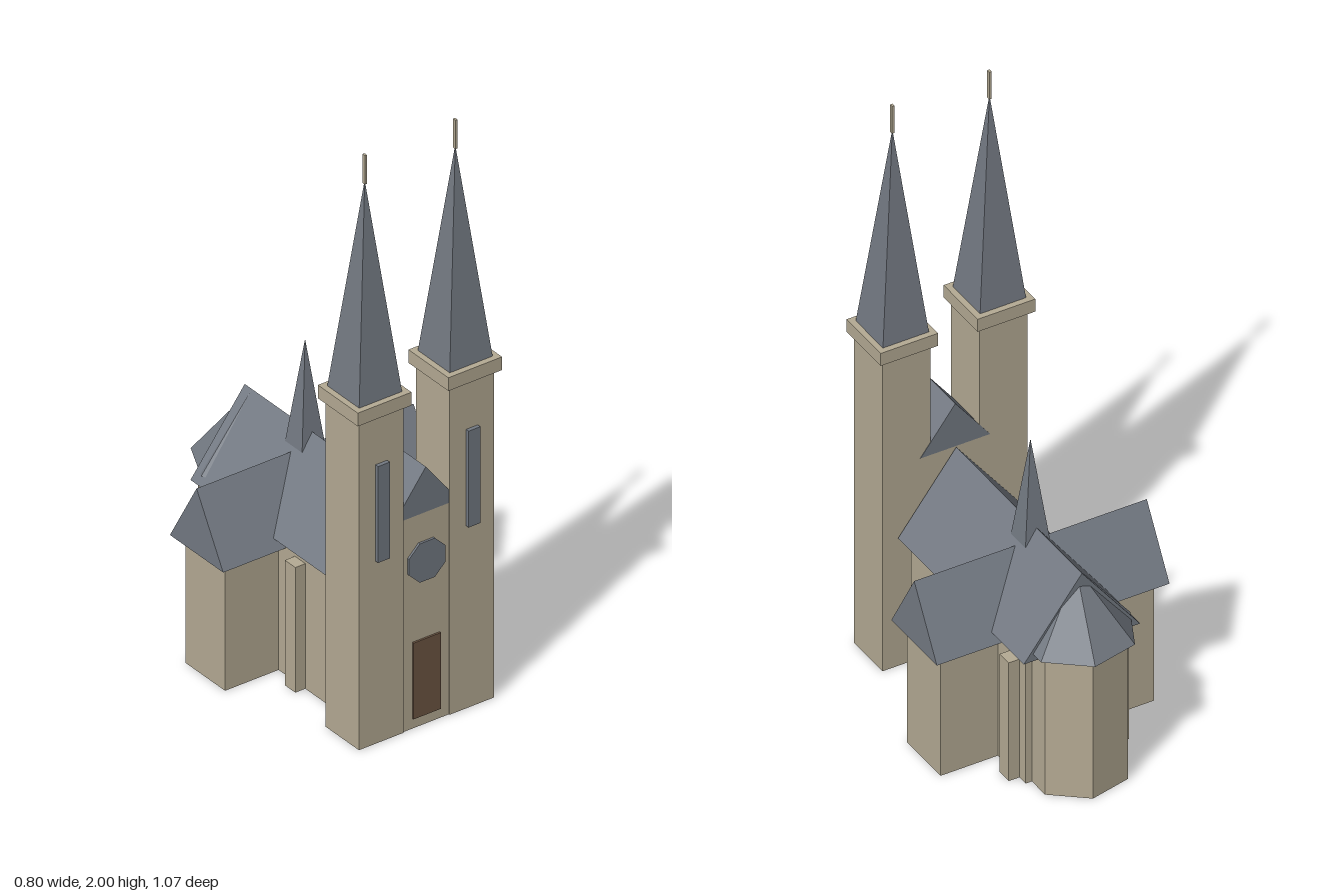
import * as THREE from 'three';

const stone = new THREE.MeshStandardMaterial({ color: 0xb5ab94 });
stone.name = 'stone';
const slate = new THREE.MeshStandardMaterial({ color: 0x747a83 });
slate.name = 'slate';
const wood = new THREE.MeshStandardMaterial({ color: 0x6e5643 });
wood.name = 'door wood';

// Separate the faces so every facet gets its own normal
function faceted(geometry) {
  const g = geometry.toNonIndexed();
  g.computeVertexNormals();
  return g;
}

function add(parent, name, geometry, material, x, y, z) {
  const mesh = new THREE.Mesh(geometry, material);
  mesh.name = name;
  mesh.position.set(x, y, z);
  parent.add(mesh);
  return mesh;
}

// Box given by its size, centre in x and z, and bottom y
function block(parent, name, [w, h, d], [x, y, z], material = stone) {
  return add(parent, name, new THREE.BoxGeometry(w, h, d), material, x, y + h / 2, z);
}

// Square pyramid standing on y
function pyramid(parent, name, half, height, [x, y, z]) {
  const g = new THREE.ConeGeometry(half * Math.SQRT2, height, 4);
  g.rotateY(Math.PI / 4);
  return add(parent, name, faceted(g), slate, x, y + height / 2, z);
}

// Closed triangular roof with its ridge along z, centred on z
function gableRoof(parent, name, half, height, length, [x, y, z]) {
  const shape = new THREE.Shape();
  shape.moveTo(-half, 0);
  shape.lineTo(half, 0);
  shape.lineTo(0, height);
  shape.closePath();
  const g = new THREE.ExtrudeGeometry(shape, { depth: length, bevelEnabled: false });
  g.translate(0, 0, -length / 2);
  return add(parent, name, g, slate, x, y, z);
}

export function createModel() {
  const church = new THREE.Group();
  church.name = 'church';
  const towerZ = 0.434, crossZ = -0.086, apseZ = -0.35;

  // Twin west towers
  for (const side of [1, -1]) {
    const tower = new THREE.Group();
    tower.name = side > 0 ? 'leftTower' : 'rightTower';
    tower.position.set(side * 0.167, 0, towerZ);
    church.add(tower);
    block(tower, 'towerShaft', [0.165, 1.14, 0.165], [0, 0, 0]);
    block(tower, 'towerCornice', [0.198, 0.046, 0.198], [0, 1.14, 0]);
    pyramid(tower, 'towerSpire', 0.079, 0.725, [0, 1.186, 0]);
    block(tower, 'spireFinial', [0.008, 0.1, 0.012], [0, 1.9, 0]);
    block(tower, 'belfryWindow', [0.043, 0.335, 0.014], [0, 0.635, 0.0885], slate);
  }

  // Facade between the towers
  block(church, 'facadeWall', [0.17, 0.735, 0.163], [0, 0, 0.4315]);
  gableRoof(church, 'facadeRoof', 0.12, 0.157, 0.163, [0, 0.735, 0.4315]);
  block(church, 'door', [0.1, 0.265, 0.009], [0, 0.035, 0.515], wood);
  const rose = new THREE.CylinderGeometry(0.073, 0.073, 0.009, 8);
  rose.rotateY(Math.PI / 8);
  rose.rotateX(Math.PI / 2);
  add(church, 'roseWindow', faceted(rose), slate, 0, 0.57, 0.516);

  // Nave with side buttresses
  block(church, 'naveWalls', [0.34, 0.475, 0.665], [0, 0, -0.0125]);
  gableRoof(church, 'naveRoof', 0.2, 0.26, 0.73, [0, 0.475, -0.02]);
  for (const side of [1, -1]) {
    for (const z of [0.118, -0.283]) {
      block(church, 'buttress', [0.05, 0.435, 0.052], [side * 0.182, 0, z]);
    }
  }

  // Transept
  block(church, 'transeptWalls', [0.735, 0.44, 0.195], [0, 0, crossZ]);
  const transeptRoof = gableRoof(church, 'transeptRoof', 0.132, 0.227, 0.8, [0, 0.44, crossZ]);
  transeptRoof.rotation.y = Math.PI / 2;

  // Small spire over the crossing
  pyramid(church, 'crossingSpire', 0.044, 0.375, [0, 0.665, crossZ]);

  // Seven-sided apse, one corner pointing to -x
  const apse = new THREE.CylinderGeometry(0.165, 0.165, 0.5, 7);
  apse.rotateY(-Math.PI / 2);
  add(church, 'apseWalls', faceted(apse), stone, 0, 0.25, apseZ);
  const apseRoof = new THREE.ConeGeometry(0.187, 0.235, 7);
  apseRoof.rotateY(-Math.PI / 2);
  add(church, 'apseRoof', faceted(apseRoof), slate, 0, 0.6175, apseZ);

  return church;
}
